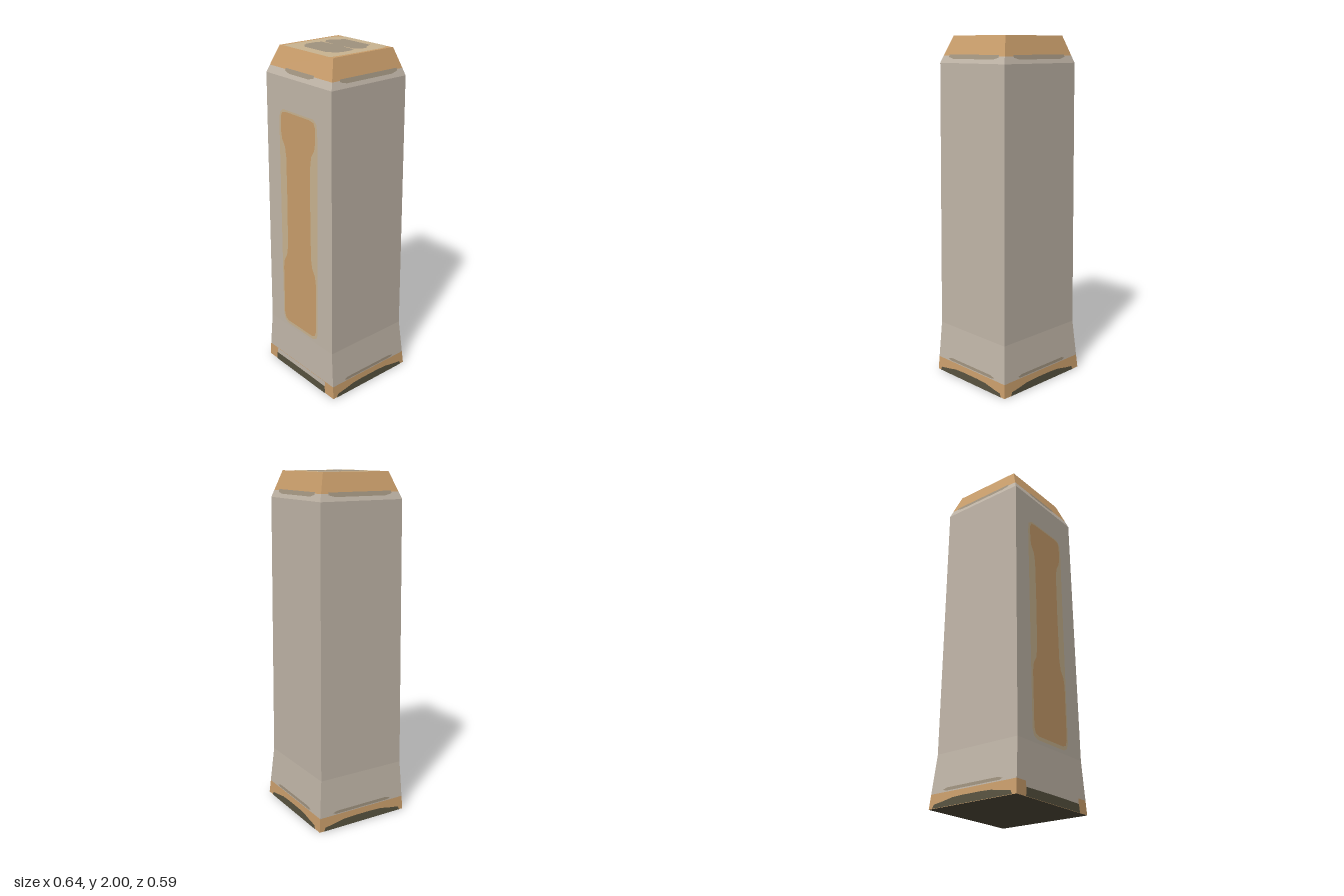
import * as THREE from 'three';

const colours = { stone: 0xc3b8aa, ochre: 0xcb9f6c, cream: 0xcbb591, greyStone: 0xa0937f, darkBase: 0x57523f };
// Half-extents of the cross-section: height, x, front z, back z
const profile = [
  [0, 0.315, 0.29, 0.292],
  [0.3, 0.29, 0.28, 0.266],
  [1.85, 0.277, 0.266, 0.256],
  [2, 0.223, 0.209, 0.208],
];

function section(y) {
  let i = 0;
  while (i < profile.length - 2 && y > profile[i + 1][0]) i++;
  const a = profile[i], b = profile[i + 1];
  const t = (y - a[0]) / (b[0] - a[0]);
  return [1, 2, 3].map((k) => a[k] + (b[k] - a[k]) * t);
}

// Four-sided shell through the given heights
function shell(heights) {
  const pos = [];
  const corners = (y) => {
    const [x, f, b] = section(y);
    return [[-x, y, f], [x, y, f], [x, y, -b], [-x, y, -b]];
  };
  for (let i = 0; i < heights.length - 1; i++) {
    const lo = corners(heights[i]), hi = corners(heights[i + 1]);
    for (let k = 0; k < 4; k++) {
      const n = (k + 1) % 4;
      pos.push(...lo[k], ...lo[n], ...hi[n], ...lo[k], ...hi[n], ...hi[k]);
    }
  }
  const g = new THREE.BufferGeometry();
  g.setAttribute('position', new THREE.Float32BufferAttribute(pos, 3));
  g.computeVertexNormals();
  return g;
}

// Lays a flat shape (u across, y up) on side 0 front, 1 left, 2 back, 3 right
function onWall(shape, side, lift) {
  const g = new THREE.ShapeGeometry(shape, 6);
  const p = g.attributes.position;
  for (let i = 0; i < p.count; i++) {
    const u = p.getX(i), y = p.getY(i), [x, f, b] = section(y);
    if (side === 0) p.setXYZ(i, u, y, f + lift);
    else if (side === 1) p.setXYZ(i, x + lift, y, -u);
    else if (side === 2) p.setXYZ(i, -u, y, -b - lift);
    else p.setXYZ(i, -x - lift, y, u);
  }
  g.computeVertexNormals();
  return g;
}

const polygon = (points) => new THREE.Shape(points.map(([x, y]) => new THREE.Vector2(x, y)));

// Mirrored outline from its right-hand half, listed bottom to top
const mirrored = (half) => polygon([...half, ...half.map(([x, y]) => [-x, y]).reverse()]);

export function createModel() {
  const model = new THREE.Group();
  const mats = {};
  for (const [name, color] of Object.entries(colours)) {
    mats[name] = new THREE.MeshStandardMaterial({ color });
    mats[name].name = name;
  }
  const add = (name, geometry, mat) => {
    const mesh = new THREE.Mesh(geometry, mats[mat]);
    mesh.name = name;
    model.add(mesh);
    return mesh;
  };

  // Main pillar
  add('foot', shell([0, 0.08]), 'ochre');
  add('shaft', shell([0.08, 0.3, 1.85, 1.89]), 'stone');
  add('cap', shell([1.89, 2]), 'ochre');

  // Underside
  const under = new THREE.PlaneGeometry(0.63, 0.582);
  under.rotateX(Math.PI / 2);
  add('underside', under, 'darkBase');

  // Tall inset panel with waisted centre and pale border
  add('panelBorder', onWall(mirrored([
    [0.12, 0.32], [0.15, 0.335], [0.163, 0.37], [0.165, 1.6], [0.158, 1.65], [0.13, 1.672],
  ]), 0, 0.002), 'cream');
  add('panel', onWall(mirrored([
    [0.11, 0.34], [0.138, 0.35], [0.15, 0.385], [0.15, 0.7], [0.142, 0.75], [0.118, 0.79],
    [0.107, 0.85], [0.104, 1.15], [0.106, 1.4], [0.115, 1.46], [0.14, 1.5], [0.148, 1.54],
    [0.148, 1.63], [0.135, 1.655], [0.1, 1.662],
  ]), 0, 0.004), 'ochre');

  // Worn plinth edges and weathering under the cap
  add('plinthFrontBand', onWall(mirrored([[0.235, 0.045], [0.235, 0.08]]), 0, 0.002), 'stone');
  for (let side = 0; side < 4; side++) {
    const front = side === 0;
    const dark = front
      ? [[0.24, 0.001], [0.235, 0.048], [0.1, 0.05]]
      : [[0.265, 0.001], [0.255, 0.022], [0.2, 0.03], [0.13, 0.043], [0.06, 0.046]];
    add('plinthEdge', onWall(mirrored(dark), side, 0.003), 'darkBase');
    const w = front ? 0.12 : 0.2;
    add('capWear', onWall(mirrored([[w - 0.04, 1.873], [w, 1.883], [w, 1.897]]), side, 0.002), 'greyStone');
    if (!front) add('plinthWear', onWall(mirrored([[0.18, 0.086], [0.2, 0.094], [0.17, 0.103]]), side, 0.002), 'greyStone');
  }

  // Flat top: ochre rim, pale field and two joined grey patches
  const flat = (name, shape, y, mat) => {
    const g = new THREE.ShapeGeometry(shape, 6);
    g.rotateX(-Math.PI / 2);
    add(name, g, mat).position.y = y;
  };
  flat('topRim', mirrored([[0.223, -0.209], [0.223, 0.208]]), 1.998, 'ochre');
  flat('topField', mirrored([
    [0.195, -0.208], [0.198, -0.15], [0.201, 0], [0.202, 0.13], [0.195, 0.175], [0.175, 0.202], [0.165, 0.207],
  ]), 1.999, 'cream');
  flat('topPatch', mirrored([
    [0.088, -0.146], [0.125, -0.118], [0.145, -0.088], [0.145, -0.02], [0.13, 0.01], [0.05, 0.013],
    [0.05, 0.018], [0.12, 0.022], [0.147, 0.055], [0.147, 0.085], [0.118, 0.115], [0.112, 0.137], [0.1, 0.154],
  ]), 2, 'greyStone');

  return model;
}
